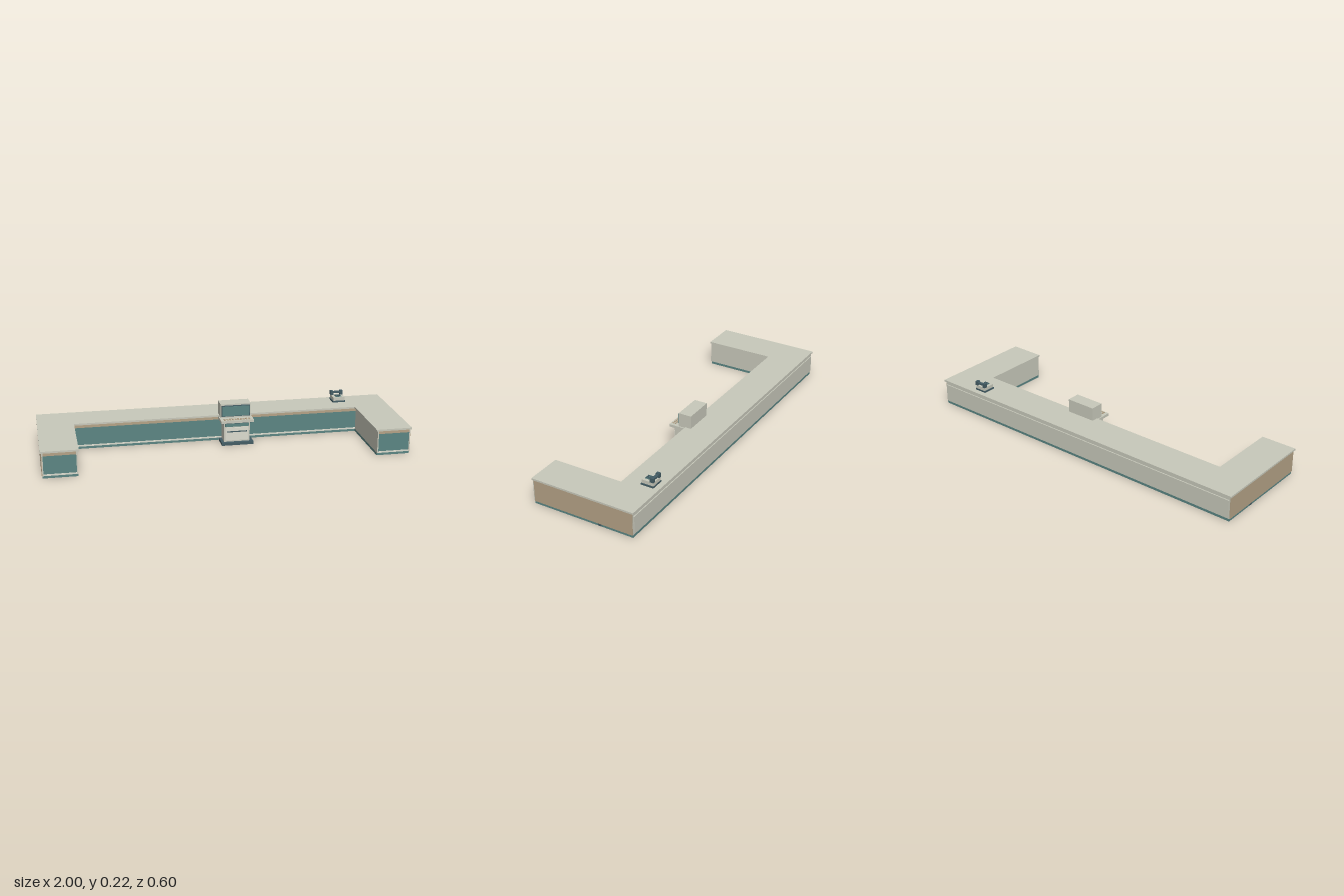
import * as THREE from 'three';

const mat = (name, color) => {
  const m = new THREE.MeshStandardMaterial({ color });
  m.name = name;
  return m;
};

export function createModel() {
  const cream = mat('cream', 0xc8c9bb);
  const teal = mat('teal', 0x5b8583);
  const tan = mat('tan', 0xb4a286);
  const dark = mat('dark slate', 0x435c64);
  const pale = mat('pale trim', 0xdcdccf);

  const root = new THREE.Group();
  root.name = 'serviceCounter';
  const group = (name) => {
    const g = new THREE.Group();
    g.name = name;
    root.add(g);
    return g;
  };
  // Box given by its min and max on each axis
  const box = (parent, name, m, x0, x1, y0, y1, z0, z1) => {
    const mesh = new THREE.Mesh(new THREE.BoxGeometry(x1 - x0, y1 - y0, z1 - z0), m);
    mesh.position.set((x0 + x1) / 2, (y0 + y1) / 2, (z0 + z1) / 2);
    mesh.name = name;
    parent.add(mesh);
    return mesh;
  };
  // U-shaped slab seen from above, with outer and inner margins
  const slab = (parent, name, m, y0, y1, inset) => {
    const o = 1 - inset, i = 0.8 + inset, f = 0.3 - inset, b = 0.1 + inset;
    const pts = [[-o, -f], [-i, -f], [-i, b], [i, b], [i, -f], [o, -f], [o, f], [-o, f]];
    const shape = new THREE.Shape(pts.map(([x, y]) => new THREE.Vector2(x, y)));
    const geo = new THREE.ExtrudeGeometry(shape, { depth: y1 - y0, bevelEnabled: false });
    geo.rotateX(-Math.PI / 2);
    const mesh = new THREE.Mesh(geo, m);
    mesh.position.y = y0;
    mesh.name = name;
    parent.add(mesh);
  };

  // Counter: plinth, carcass and worktop
  const counter = group('counter');
  slab(counter, 'plinth', teal, 0, 0.014, 0.008);
  slab(counter, 'carcass', cream, 0.014, 0.14, 0.008);
  slab(counter, 'worktop', cream, 0.14, 0.15, 0);

  // Layered facing used on every front: rail, panel, skirting
  const facing = (name, x0, x1, z) => {
    const g = group(name);
    box(g, 'topRail', tan, x0, x1, 0.124, 0.139, z, z + 0.006);
    box(g, 'panel', teal, x0, x1, 0.024, 0.124, z, z + 0.004);
    box(g, 'skirting', pale, x0, x1, 0.015, 0.024, z, z + 0.006);
  };
  facing('frontFacing', -0.808, 0.808, -0.108);
  for (const s of [-1, 1]) {
    const a = s < 0 ? -0.986 : 0.814, b = a + 0.172;
    facing(s < 0 ? 'rightWingFacing' : 'leftWingFacing', a, b, 0.292);
    const trim = group('wingTrim');
    box(trim, 'edgeStrip', cream, a - 0.006, a, 0.015, 0.139, 0.292, 0.298);
    box(trim, 'edgeStrip', cream, b, b + 0.006, 0.015, 0.139, 0.292, 0.298);
    // Wood end panels on the outer sides
    box(trim, 'sidePanel', tan, s * 0.9935 - 0.002, s * 0.9935 + 0.002, 0.0145, 0.1395, -0.291, 0.291);
    box(trim, 'plinthJoint', dark, s * 0.9925 - 0.001, s * 0.9925 + 0.001, 0.001, 0.013, -0.109, -0.09);
  }
  // Customer side
  box(counter, 'backPanel', cream, -0.988, 0.988, 0.026, 0.122, -0.298, -0.291);
  box(counter, 'backRail', cream, -0.988, 0.988, 0.126, 0.139, -0.296, -0.291);

  // Terminal standing in front of the counter
  const terminal = group('terminal');
  box(terminal, 'foot', dark, 0.008, 0.188, 0, 0.015, -0.105, -0.006);
  box(terminal, 'cabinet', cream, 0.024, 0.17, 0.015, 0.126, -0.105, -0.028);
  box(terminal, 'upperPanel', teal, 0.03, 0.164, 0.103, 0.124, -0.028, -0.024);
  box(terminal, 'drawer', pale, 0.032, 0.162, 0.024, 0.098, -0.028, -0.022);
  box(terminal, 'drawerSlot', dark, 0.04, 0.154, 0.072, 0.078, -0.022, -0.02);
  box(terminal, 'keyShelf', cream, 0.004, 0.188, 0.13, 0.145, -0.1, -0.005);
  box(terminal, 'shelfBracket', dark, 0.018, 0.176, 0.124, 0.13, -0.1, -0.016);
  for (let r = 0; r < 2; r++)
    for (let i = 0; i < 10; i++) {
      const x = 0.022 + i * 0.0153, z = -0.034 + r * 0.013;
      box(terminal, 'key', tan, x, x + 0.01, 0.145, 0.148, z, z + 0.008);
    }
  box(terminal, 'monitor', cream, 0.01, 0.181, 0.145, 0.225, -0.135, -0.06);
  box(terminal, 'screenBezel', dark, 0.016, 0.175, 0.154, 0.217, -0.06, -0.054);
  box(terminal, 'screen', teal, 0.02, 0.171, 0.158, 0.213, -0.054, -0.05);

  // Desk telephone
  const phone = group('telephone');
  box(phone, 'phoneBase', dark, 0.698, 0.772, 0.15, 0.159, -0.27, -0.197);
  box(phone, 'phoneBody', cream, 0.702, 0.768, 0.159, 0.179, -0.268, -0.2);
  box(phone, 'keypad', teal, 0.718, 0.752, 0.179, 0.181, -0.245, -0.209);
  for (let r = 0; r < 3; r++)
    for (let i = 0; i < 3; i++) {
      const x = 0.721 + i * 0.0105, z = -0.24 + r * 0.0105;
      box(phone, 'phoneKey', dark, x, x + 0.007, 0.181, 0.184, z, z + 0.007);
    }
  box(phone, 'handsetGrip', dark, 0.7, 0.77, 0.189, 0.198, -0.268, -0.252);
  for (const x of [0.699, 0.755])
    box(phone, 'handsetEnd', dark, x, x + 0.016, 0.179, 0.203, -0.27, -0.249);

  return root;
}
